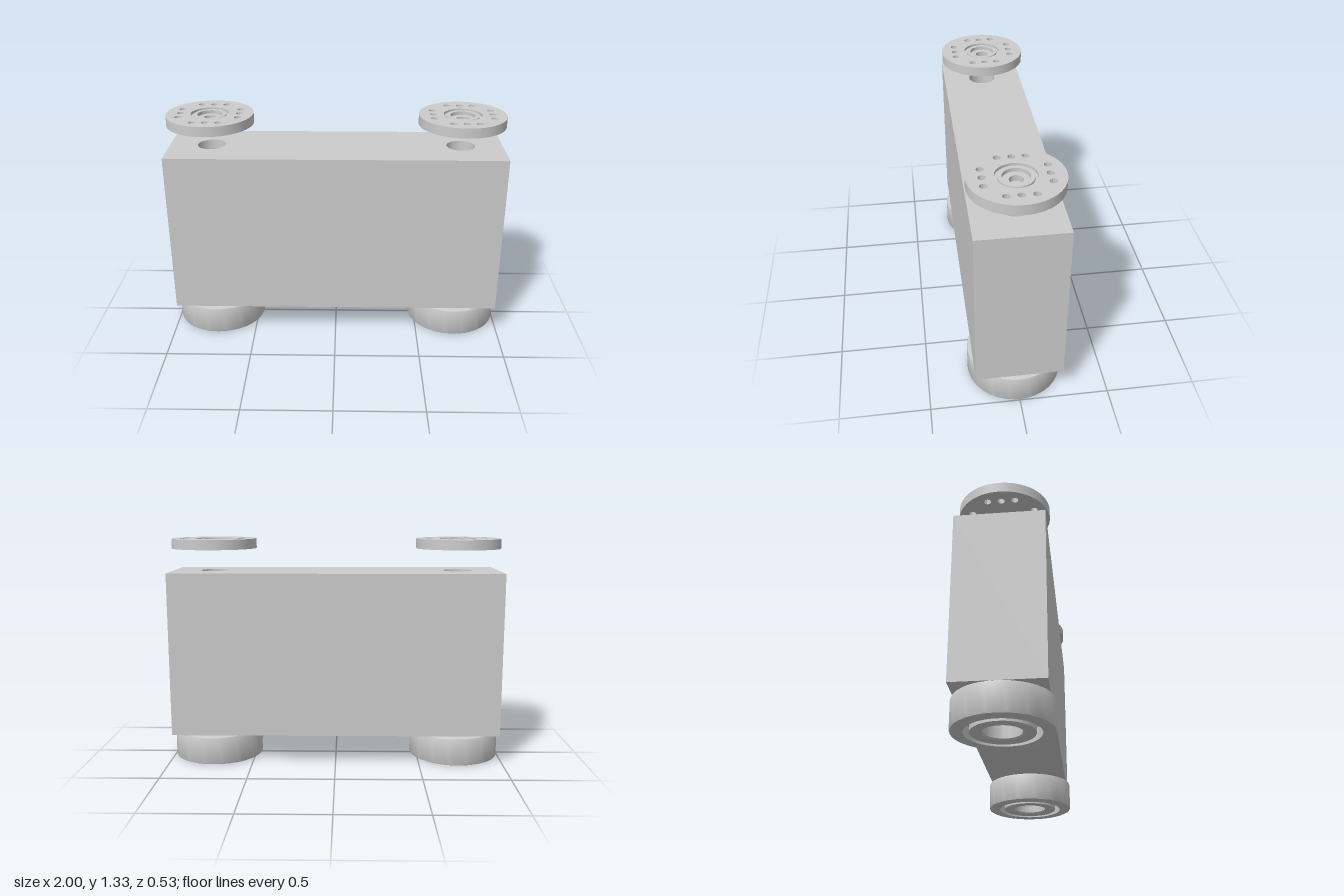
import * as THREE from 'three';
import { toCreasedNormals } from 'three/addons/utils/BufferGeometryUtils.js';

const material = new THREE.MeshStandardMaterial({ color: 0xcccccc });

function addMesh(parent, name, geometry) {
  const mesh = new THREE.Mesh(toCreasedNormals(geometry, 0.5), material);
  mesh.name = name;
  parent.add(mesh);
  return mesh;
}

// Revolves a closed [radius, height] outline (counter-clockwise).
function revolve(outline) {
  const points = [...outline, outline[0]].map(([r, y]) => new THREE.Vector2(r, y));
  return new THREE.LatheGeometry(points, 64);
}

// Extrudes a plan outline upwards from y0 to y1, cutting round holes [x, z, r].
function plate(shape, holes, y0, y1) {
  for (const [x, z, r] of holes) {
    shape.holes.push(new THREE.Path().absarc(x, -z, r, 0, Math.PI * 2, true));
  }
  const geometry = new THREE.ExtrudeGeometry(shape, {
    depth: y1 - y0, bevelEnabled: false, curveSegments: 32,
  });
  return geometry.rotateX(-Math.PI / 2).translate(0, y0, 0);
}

// Twelve small screw holes, three on each side of a square
function screwHoles() {
  const holes = [];
  for (const side of [-0.171, 0.171]) {
    for (const along of [-0.074, 0, 0.074]) {
      holes.push([along, side, 0.02], [side, along, 0.02]);
    }
  }
  return holes;
}

export function createModel() {
  const model = new THREE.Group();
  const axisX = 0.732;

  // Block with a vertical bore at each end
  const rect = new THREE.Shape([
    new THREE.Vector2(-0.977, -0.244), new THREE.Vector2(0.977, -0.244),
    new THREE.Vector2(0.977, 0.244), new THREE.Vector2(-0.977, 0.244),
  ]);
  addMesh(model, 'block', plate(rect, [[-axisX, 0, 0.083], [axisX, 0, 0.083]], 0.176, 1.142));

  for (const side of [-1, 1]) {
    const station = new THREE.Group();
    station.name = side > 0 ? 'leftStation' : 'rightStation';
    station.position.x = side * axisX;
    model.add(station);

    // Drilled flange floating above the block
    const disc = new THREE.Shape().absarc(0, 0, 0.253, 0, Math.PI * 2, false);
    addMesh(station, 'flange', plate(disc, [[0, 0, 0.11], ...screwHoles()], 1.275, 1.333));

    // Stepped hub filling the flange centre
    addMesh(station, 'flangeHub', revolve([
      [0.037, 1.275], [0.11, 1.275], [0.11, 1.318], [0.095, 1.318], [0.095, 1.328],
      [0.072, 1.328], [0.072, 1.308], [0.037, 1.308],
    ]));

    // Bearing: chamfered rings with a deep groove on both faces
    addMesh(station, 'bearing', revolve([
      [0.1, 0.008], [0.108, 0], [0.167, 0], [0.167, 0.07], [0.199, 0.07], [0.199, 0],
      [0.257, 0], [0.264, 0.003], [0.267, 0.01], [0.267, 0.16], [0.264, 0.167], [0.257, 0.17],
      [0.199, 0.17], [0.199, 0.1], [0.167, 0.1], [0.167, 0.17], [0.108, 0.17], [0.1, 0.162],
    ]));
  }
  return model;
}
